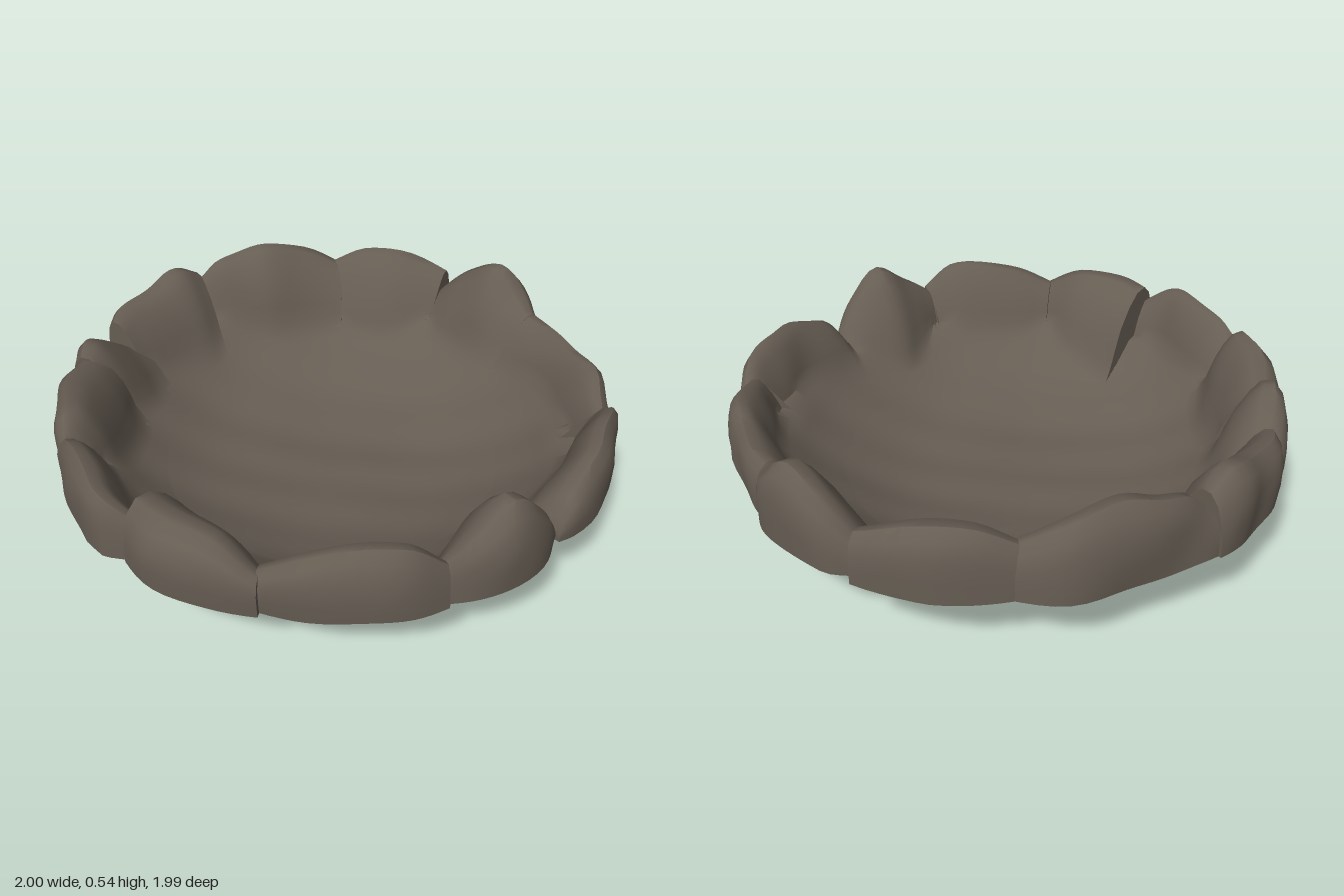
import * as THREE from 'three';
import { mergeVertices, toCreasedNormals } from 'three/addons/utils/BufferGeometryUtils.js';

const stoneGrey = new THREE.MeshStandardMaterial({ color: 0x665d53, side: THREE.DoubleSide });
stoneGrey.name = 'stone grey';

const RIM_Y = 0.25;
const FLOOR_R = 0.6; // floor disc; the stones' inner faces carry the dish on from here

// Gentle unevenness that depends only on position
const bump = (x, y, z) =>
  Math.sin(9 * x + 4 * z + 1) * Math.sin(8 * z - 5 * y) * 0.6 + Math.sin(21 * x - 13 * z + 17 * y) * 0.4;

const bowlY = (r) => Math.min(0.005 + 0.25 * (r / 0.8) ** 3, 0.265);
const dishY = (r, x, z) => Math.max(0, bowlY(r) + 0.008 * bump(x, 0, z));

// Shallow dished floor
function floorGeometry() {
  const profile = [];
  for (let i = 0; i <= 12; i++) profile.push(new THREE.Vector2(((FLOOR_R + 0.01) * i) / 12, 0));
  let geo = new THREE.LatheGeometry(profile, 72);
  geo.deleteAttribute('uv');
  geo.deleteAttribute('normal');
  geo = mergeVertices(geo, 1e-4);
  const p = geo.attributes.position;
  for (let i = 0; i < p.count; i++) {
    const x = p.getX(i), z = p.getZ(i);
    p.setY(i, dishY(Math.hypot(x, z), x, z));
  }
  geo.computeVertexNormals();
  return geo;
}

// Stone section from the outer foot, over the crest, down the inner face:
// [0 outer .. 1 inner, 0 foot .. 1 top]
const SECTION = [[0, 0], [0, 0.3], [0.02, 0.6], [0.1, 0.86], [0.24, 1], [0.42, 0.98],
  [0.6, 0.82], [0.78, 0.58], [0.91, 0.32], [1, 0.12]];
const DISH_STEPS = 4;

// A stone shell, open below, swept round the ring and run out into the dish;
// stations are [angle in degrees, inner radius, outer radius, top]
function stoneGeometry(stations) {
  const steps = (stations.length - 1) * 4;
  const curve = (k) => new THREE.CatmullRomCurve3(
    stations.map((s) => new THREE.Vector3(s[0] / 100, s[k], 0)), false, 'centripetal');
  const [inner, outer, top] = [1, 2, 3].map(curve);
  const middle = (stations[0][0] + stations[stations.length - 1][0]) / 2;
  const n = SECTION.length + DISH_STEPS + 1;
  const pos = [], index = [], angles = [];
  for (let i = 0; i <= steps; i++) {
    const t = i / steps;
    // Slightly widened so neighbours touch
    const a = THREE.MathUtils.degToRad(middle + (outer.getPoint(t).x * 100 - middle) * 1.055);
    angles.push(a);
    const rIn = inner.getPoint(t).y, rOut = outer.getPoint(t).y, h = top.getPoint(t).y;
    SECTION.forEach(([u, v]) => {
      const foot = THREE.MathUtils.lerp(RIM_Y, Math.min(RIM_Y, bowlY(rIn)), u);
      const r = THREE.MathUtils.lerp(rOut, rIn, u), y = THREE.MathUtils.lerp(foot, h, v);
      const lump = 0.012 * bump(r * Math.cos(a), y, r * Math.sin(a));
      const rr = Math.min(r + lump, 1);
      pos.push(rr * Math.cos(a), y + lump * 0.7, rr * Math.sin(a));
    });
    // Inner foot and the dish below it
    const rFoot = Math.min(rIn - 0.03, 0.8);
    for (let j = 0; j <= DISH_STEPS; j++) {
      const r = THREE.MathUtils.lerp(rFoot, FLOOR_R, j / DISH_STEPS);
      const x = r * Math.cos(a), z = r * Math.sin(a);
      pos.push(x, dishY(r, x, z), z);
    }
  }
  for (let i = 0; i < steps; i++) {
    for (let j = 0; j < n - 1; j++) {
      const A = i * n + j, B = A + 1;
      index.push(A, B, A + n, B, B + n, A + n);
    }
  }
  // End faces, fanned from a point on the underside where the dish meets the rim
  for (const i of [0, steps]) {
    const c = pos.length / 3, a = angles[i];
    pos.push(0.82 * Math.cos(a), RIM_Y + 0.01, 0.82 * Math.sin(a));
    for (let j = 0; j < SECTION.length; j++) {
      const A = i * n + j;
      if (i === 0) index.push(c, A + 1, A);
      else index.push(c, A, A + 1);
    }
  }
  const geo = new THREE.BufferGeometry();
  geo.setAttribute('position', new THREE.Float32BufferAttribute(pos, 3));
  geo.setIndex(index);
  return toCreasedNormals(geo, 0.85);
}

export function createModel() {
  const group = new THREE.Group();
  group.name = 'stoneRingBowl';
  const add = (name, geo) => {
    const mesh = new THREE.Mesh(geo, stoneGrey);
    mesh.name = name;
    group.add(mesh);
  };
  const stone = (name, ...stations) => add(name, stoneGeometry(stations));

  add('bowlFloor', floorGeometry());

  // Rim stones, from the model's left side round by the front
  stone('leftStone', [-14, 0.83, 0.95, 0.33], [-7, 0.79, 1, 0.46], [2, 0.77, 1, 0.54], [9, 0.77, 1, 0.46], [14.5, 0.79, 0.96, 0.42]);
  stone('frontLeftLongStone', [15.5, 0.78, 0.97, 0.42], [22, 0.79, 0.97, 0.41], [31, 0.81, 0.98, 0.42], [44, 0.83, 0.99, 0.42], [53, 0.86, 0.97, 0.38]);
  stone('frontLeftStone', [51, 0.88, 0.98, 0.34], [57, 0.87, 1, 0.43], [64, 0.84, 1, 0.47], [74, 0.81, 1, 0.45], [84, 0.79, 0.98, 0.38], [87, 0.81, 0.96, 0.3]);
  stone('frontPeakStone', [88.5, 0.83, 0.94, 0.29], [94, 0.77, 0.98, 0.42], [102, 0.73, 1, 0.54], [109, 0.77, 0.99, 0.46], [116, 0.86, 0.96, 0.38]);
  stone('frontRightStone', [116.5, 0.87, 0.98, 0.4], [123, 0.8, 0.99, 0.48], [131, 0.78, 0.98, 0.49], [140, 0.79, 0.98, 0.46], [148.5, 0.82, 0.96, 0.39]);
  stone('rightBlockStone', [149.5, 0.84, 0.98, 0.38], [158, 0.74, 0.99, 0.47], [168, 0.69, 1, 0.48], [176, 0.67, 0.96, 0.46]);
  stone('rightStone', [177.5, 0.84, 0.95, 0.4], [183, 0.83, 1, 0.46], [190, 0.81, 0.99, 0.48], [200, 0.81, 0.98, 0.46], [207, 0.82, 0.98, 0.39]);
  stone('backRightStone', [207, 0.83, 0.97, 0.41], [211, 0.78, 0.97, 0.48], [218, 0.74, 0.97, 0.48], [227, 0.72, 0.96, 0.46], [234, 0.74, 0.95, 0.44]);
  stone('backRightSmallStone', [232.5, 0.78, 0.95, 0.46], [237, 0.75, 0.96, 0.48], [243, 0.73, 0.97, 0.43], [249, 0.74, 0.97, 0.36], [253, 0.75, 0.94, 0.31]);
  stone('backStone', [251, 0.82, 0.96, 0.44], [258, 0.78, 0.99, 0.46], [266, 0.75, 0.99, 0.48], [273, 0.74, 1, 0.51], [278.5, 0.77, 0.99, 0.46]);
  stone('backLeftPeakStone', [280, 0.85, 0.98, 0.4], [285, 0.8, 0.97, 0.48], [291, 0.76, 0.97, 0.5], [298, 0.73, 0.97, 0.53], [308, 0.74, 0.99, 0.49], [318, 0.78, 0.95, 0.41]);
  stone('backLeftStone', [317, 0.81, 0.95, 0.42], [325, 0.76, 0.98, 0.48], [334, 0.75, 1, 0.48], [345.5, 0.84, 1, 0.42]);
  return group;
}
